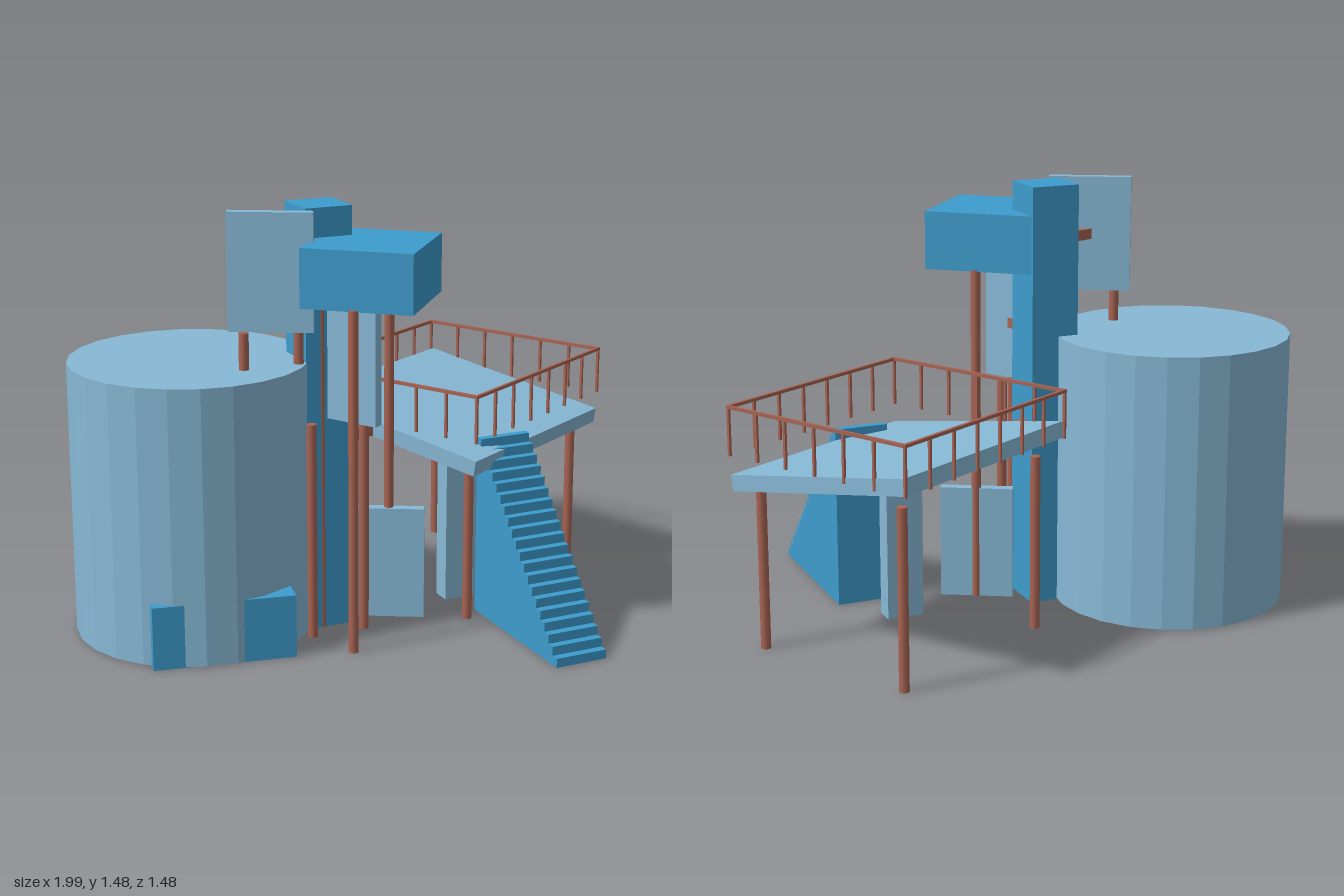
import * as THREE from 'three';

export function createModel() {
  const model = new THREE.Group();
  const mat = (name, color) => {
    const m = new THREE.MeshStandardMaterial({ color });
    m.name = name;
    return m;
  };
  const pale = mat('paleBlue', 0x87b9d6);
  const blue = mat('strongBlue', 0x3d9ccd);
  const rust = mat('rustBrown', 0xa86453);

  const add = (name, geo, material, x, y, z, turn = 0, parent = model) => {
    const mesh = new THREE.Mesh(geo, material);
    mesh.name = name;
    mesh.position.set(x, y, z);
    mesh.rotation.y = THREE.MathUtils.degToRad(turn);
    parent.add(mesh);
    return mesh;
  };
  // box standing on height y
  const block = (name, material, w, h, d, x, y, z, turn) =>
    add(name, new THREE.BoxGeometry(w, h, d), material, x, y + h / 2, z, turn);
  const pole = (name, x, z, h, parent) =>
    add(name, new THREE.CylinderGeometry(0.017, 0.017, h, 10), rust, x, h / 2, z, 0, parent);
  // horizontal beam between two ground positions
  const beam = (name, x1, z1, x2, z2, y) => {
    const length = Math.hypot(x2 - x1, z2 - z1);
    const turn = THREE.MathUtils.radToDeg(Math.atan2(z1 - z2, x2 - x1));
    add(name, new THREE.BoxGeometry(length, 0.036, 0.036), rust, (x1 + x2) / 2, y, (z1 + z2) / 2, turn);
  };

  // round tank with a low block pushed into its foot
  const tankGeo = new THREE.CylinderGeometry(0.41, 0.41, 0.952, 24).toNonIndexed();
  tankGeo.computeVertexNormals();
  add('tank', tankGeo, pale, -0.59, 0.479, -0.15);
  block('tankBlock', blue, 0.483, 0.22, 0.355, -0.595, 0, 0.07, -10.7);

  // tower column and the cabin on top
  block('column', blue, 0.17, 1.475, 0.17, -0.175, 0, 0);
  block('cabin', blue, 0.38, 0.2, 0.38, -0.07, 1.175, 0.195, -40.8);
  for (const [x, z] of [[-0.2, 0.33], [0.055, 0.07], [-0.2, 0.07]]) pole('cabinPole', x, z, 1.18);

  // flat wall panels
  block('highPanel', pale, 0.285, 0.4, 0.036, -0.382, 1.075, 0.078, -29);
  block('middlePanel', pale, 0.195, 0.395, 0.036, -0.128, 0.76, 0.182, -60);
  block('lowPanel', pale, 0.255, 0.4, 0.036, 0.05, 0, 0.075, -29);
  block('deckPanel', pale, 0.13, 0.58, 0.072, 0.365, 0, 0);

  // poles and beams holding the panels
  pole('highPanelPole', -0.48, 0.078, 1.08);
  pole('highPanelPole', -0.285, 0.08, 1.08);
  pole('middlePanelPole', -0.27, 0.148, 0.76);
  pole('middlePanelPole', -0.077, 0.148, 0.76);
  beam('highBeam', -0.175, 0, -0.382, 0.078, 1.275);
  beam('middleBeam', -0.175, 0, -0.128, 0.182, 0.958);
  beam('deckBeam', -0.175, 0, 0.1, -0.095, 0.64);

  // deck: sloping slab, upright legs, level railing
  const deck = new THREE.Group();
  deck.name = 'deck';
  deck.position.set(0.445, 0, -0.209);
  deck.rotation.y = THREE.MathUtils.degToRad(29);
  model.add(deck);
  const L = 0.822, D = 0.741;
  const slab = add('deckSlab', new THREE.BoxGeometry(L, 0.055, D), pale, 0, 0.638, 0, 0, deck);
  slab.rotation.x = THREE.MathUtils.degToRad(9.5);
  for (const x of [-0.345, 0.345]) for (const z of [-0.3, 0.3]) pole('deckLeg', x, z, 0.61, deck);

  const post = (x, z) =>
    add('railPost', new THREE.BoxGeometry(0.009, 0.165, 0.009), rust, x, 0.75, z, 0, deck);
  for (const s of [-1, 1]) {
    add('longRail', new THREE.BoxGeometry(L + 0.01, 0.011, 0.011), rust, 0, 0.832, s * D / 2, 0, deck);
    add('shortRail', new THREE.BoxGeometry(0.011, 0.011, D), rust, s * L / 2, 0.832, 0, 0, deck);
    for (let i = 0; i <= 7; i++) post((i / 7 - 0.5) * L, s * D / 2);
    for (let i = 1; i < 6; i++) post(s * L / 2, (i / 6 - 0.5) * D);
  }

  // solid staircase, extruded sideways from its stepped outline
  const steps = 20, run = 0.575 / steps, rise = 0.64 / steps;
  const outline = new THREE.Shape();
  outline.moveTo(0, 0);
  for (let i = 0; i < steps; i++) {
    outline.lineTo(i * run, (i + 1) * rise);
    outline.lineTo((i + 1) * run, (i + 1) * rise);
  }
  outline.lineTo(steps * run, 0);
  const stairGeo = new THREE.ExtrudeGeometry(outline, { depth: 0.19, bevelEnabled: false });
  add('stairs', stairGeo, blue, 0.35, 0, 0.74, 90);

  return model;
}
